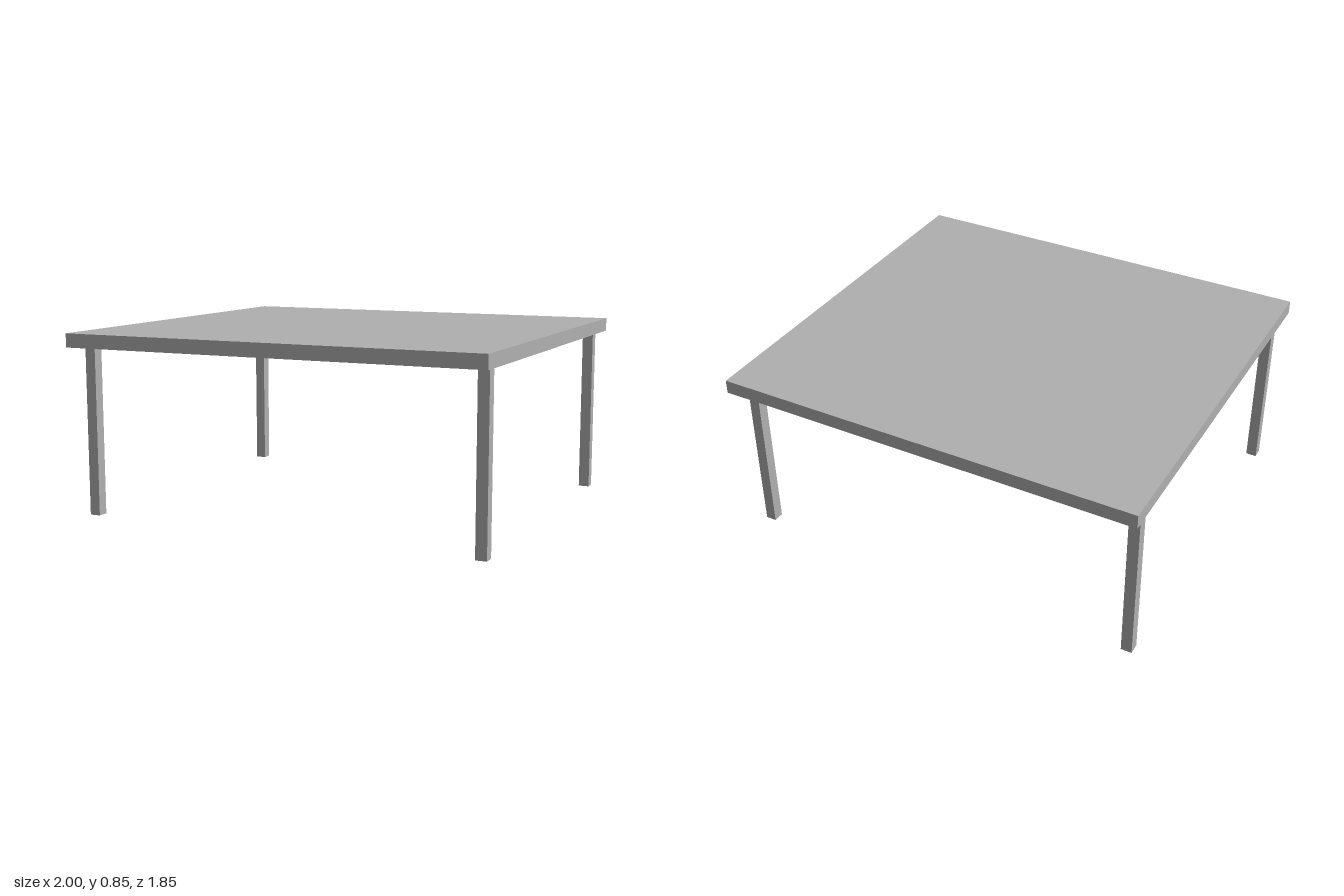
import * as THREE from 'three';

export function createModel() {
  const grey = new THREE.MeshStandardMaterial({ color: 0xb0b0b0 });
  grey.name = 'grey';

  const table = new THREE.Group();
  table.name = 'table';

  const addBox = (name, size, position) => {
    const mesh = new THREE.Mesh(new THREE.BoxGeometry(...size), grey);
    mesh.name = name;
    mesh.position.set(...position);
    table.add(mesh);
  };

  // Slab top
  const legHeight = 0.79, topThickness = 0.064;
  addBox('tabletop', [2, topThickness, 1.845], [0, legHeight + topThickness / 2, 0]);

  // Four square legs, inset from the corners
  for (const [sideName, sx] of [['Left', 1], ['Right', -1]]) {
    for (const [endName, sz] of [['front', 1], ['back', -1]]) {
      addBox(`${endName}${sideName}Leg`, [0.051, legHeight, 0.051],
        [sx * 0.946, legHeight / 2, sz * 0.793]);
    }
  }

  return table;
}
